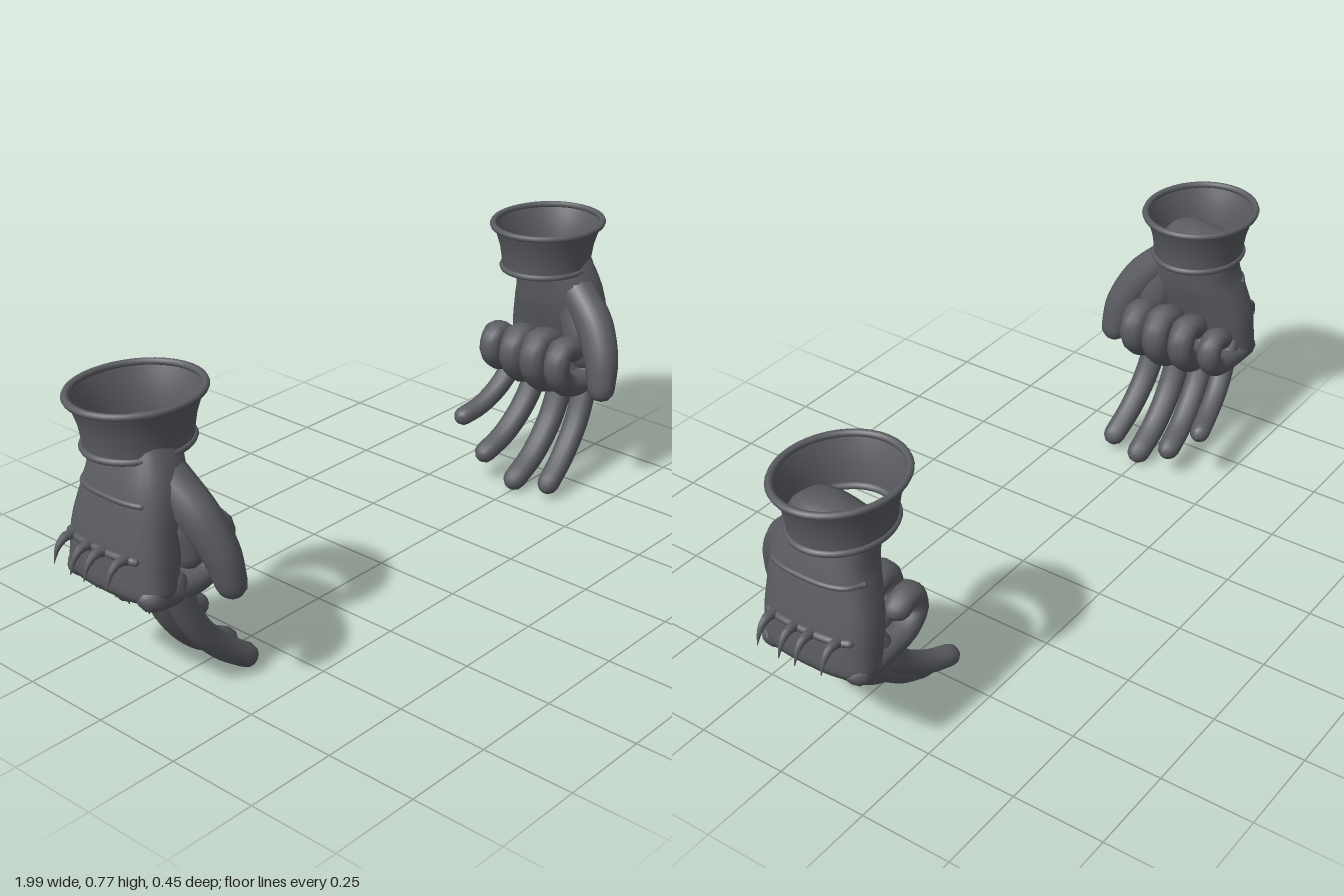
import * as THREE from 'three';

const gloveGrey = new THREE.MeshStandardMaterial({ color: 0x5b5d62, side: THREE.DoubleSide });
gloveGrey.name = 'gloveGrey';

// Rounded tube through path points [x, y, z, halfThickness, halfWidth], with domed ends.
function limb(points, { sides = 12, steps = 14, power = 2, caps = null } = {}) {
  const curve = new THREE.CatmullRomCurve3(points.map(p => new THREE.Vector3(p[0], p[1], p[2])), false, 'centripetal');
  const last = points.length - 1;
  const radiusAt = (t, k) => {
    const i = Math.min(Math.floor(t * last), last - 1), f = t * last - i;
    return THREE.MathUtils.lerp(points[i][k], points[i + 1][k], f);
  };
  const startCap = caps ? caps[0] : points[0][3], endCap = caps ? caps[1] : points[last][3];
  const rings = [];
  for (const a of [89, 60, 30]) rings.push([0, -startCap * Math.sin(a * Math.PI / 180), Math.cos(a * Math.PI / 180)]);
  for (let i = 0; i <= steps; i++) rings.push([i / steps, 0, 1]);
  for (const a of [30, 60, 89]) rings.push([1, endCap * Math.sin(a * Math.PI / 180), Math.cos(a * Math.PI / 180)]);

  const pos = [], index = [], axis = new THREE.Vector3(0, 0, 1);
  const curved = c => Math.sign(c) * Math.pow(Math.abs(c), 2 / power);
  rings.forEach(([t, offset, scale], r) => {
    const tan = curve.getTangent(t), u = axis.clone().cross(tan).normalize(), v = tan.clone().cross(u);
    const centre = curve.getPoint(t).addScaledVector(tan, offset);
    for (let j = 0; j < sides; j++) {
      const a = j / sides * Math.PI * 2;
      const p = centre.clone()
        .addScaledVector(u, radiusAt(t, 3) * scale * curved(Math.cos(a)))
        .addScaledVector(v, radiusAt(t, 4) * scale * curved(Math.sin(a)));
      pos.push(p.x, p.y, p.z);
      if (r > 0) {
        const k = (j + 1) % sides, A = (r - 1) * sides, B = r * sides;
        index.push(A + j, A + k, B + k, A + j, B + k, B + j);
      }
    }
  });
  const g = new THREE.BufferGeometry();
  g.setAttribute('position', new THREE.Float32BufferAttribute(pos, 3));
  g.setIndex(index);
  g.computeVertexNormals();
  return g;
}

// Palm sections, wrist to knuckles: x, y, z, half thickness, half width.
const PALM = [
  [0.795, 0.66, -0.05, 0.078, 0.108],
  [0.82, 0.55, -0.032, 0.086, 0.136],
  [0.85, 0.42, -0.042, 0.08, 0.156],
  [0.868, 0.315, -0.042, 0.068, 0.16],
];
const PALM_POWER = 2.7;

// Outer surface x on the back of the hand for a palm section.
function backOfHand([cx, , cz, a, b], z) {
  const k = Math.min(Math.abs(z - cz) / b, 0.98);
  return cx + a * Math.pow(1 - Math.pow(k, PALM_POWER), 1 / PALM_POWER);
}

// Fingers, index to little: base z, tip z, radius, extended path in x/y, curl size.
const FINGERS = [
  { name: 'index', z: 0.08, tipZ: 0.102, r: 0.036, path: [[0.825, 0.33], [0.765, 0.19], [0.69, 0.1], [0.618, 0.045]], curl: 0.0 },
  { name: 'middle', z: 0.0, tipZ: 0.0, r: 0.038, path: [[0.825, 0.33], [0.76, 0.18], [0.675, 0.085], [0.592, 0.036]], curl: -0.006 },
  { name: 'ring', z: -0.08, tipZ: -0.105, r: 0.036, path: [[0.82, 0.34], [0.75, 0.21], [0.665, 0.13], [0.585, 0.092]], curl: 0.0 },
  { name: 'little', z: -0.155, tipZ: -0.198, r: 0.032, path: [[0.81, 0.35], [0.74, 0.25], [0.66, 0.197], [0.595, 0.178]], curl: 0.012 },
];

function createGlove(side, name) {
  const glove = new THREE.Group();
  glove.name = name;
  const add = (geometry, partName) => {
    const mesh = new THREE.Mesh(geometry, gloveGrey);
    mesh.name = partName;
    glove.add(mesh);
    return mesh;
  };
  const addLimb = (partName, points, options) =>
    add(limb(points.map(([x, ...rest]) => [side * x, ...rest]), options), partName);

  // Palm and wrist
  addLimb('palm', PALM, { sides: 28, steps: 16, power: PALM_POWER, caps: [0.035, 0.035] });

  // Thumb and the pad at its root
  addLimb('thumb', [
    [0.795, 0.585, 0.045, 0.055, 0.05],
    [0.775, 0.5, 0.125, 0.052, 0.056],
    [0.752, 0.41, 0.172, 0.046, 0.05],
    [0.737, 0.33, 0.187, 0.038, 0.04],
  ]);
  addLimb('thumbPad', [
    [0.79, 0.56, 0.04, 0.045, 0.06],
    [0.78, 0.46, 0.08, 0.05, 0.06],
    [0.78, 0.39, 0.09, 0.035, 0.045],
  ]);

  // One open and one closed finger for each knuckle
  for (const f of FINGERS) {
    addLimb(f.name + 'FingerOpen', f.path.map(([x, y], i) => {
      const r = f.r * (1 - 0.04 * i);
      return [x, y, THREE.MathUtils.lerp(f.z, f.tipZ, i / 3), r, r];
    }));
    const c = f.curl, curledZ = f.z - (f.name === 'little' ? 0.012 : 0);
    addLimb(f.name + 'FingerClosed', [
      [0.888, 0.317], [0.8, 0.307 + c], [0.715, 0.32 + c], [0.665 + c, 0.375], [0.685 + c, 0.436 - c], [0.74, 0.42 - c],
    ].map(([x, y]) => [x, y, curledZ, f.r, f.r * 1.06]), { steps: 15 });
  }

  // Flared open cuff with rolled rims
  const cuffProfile = [[0.121, 0.636], [0.122, 0.66], [0.128, 0.7], [0.138, 0.735], [0.149, 0.765]];
  const cuff = add(new THREE.LatheGeometry(cuffProfile.map(p => new THREE.Vector2(...p)), 40), 'cuff');
  cuff.position.set(side * 0.782, 0, -0.055);
  cuff.scale.x = 1.13;
  for (const [rimName, radius, y] of [['topRim', 0.148, 0.765], ['wristRim', 0.119, 0.64]]) {
    const rim = add(new THREE.TorusGeometry(radius, 0.009, 8, 40).rotateX(Math.PI / 2), rimName);
    rim.position.set(side * 0.782, y, -0.055);
    rim.scale.x = 1.14;
  }

  // Raised bands across the back of the hand
  for (const [bandName, section, radius] of [['wristBand', PALM[1], 0.007], ['spikeBand', PALM[2], 0.01]]) {
    const points = [];
    for (let i = 0; i <= 10; i++) {
      const z = 0.066 - 0.232 * i / 10;
      points.push([backOfHand(section, z) + 0.001, section[1] - 0.004, z, radius, radius]);
    }
    const path = new THREE.CatmullRomCurve3(points.map(p => new THREE.Vector3(side * p[0], p[1], p[2])));
    add(new THREE.TubeGeometry(path, 24, radius, 8), bandName);
    for (const end of [points[0], points[10]]) {
      add(new THREE.SphereGeometry(radius, 8, 6), bandName + 'End').position.set(side * end[0], end[1], end[2]);
    }
  }

  // Hooked spikes on the band and straight spikes under the knuckles
  for (const z of [0.045, -0.025, -0.072, -0.142]) {
    const x = backOfHand(PALM[2], z);
    addLimb('bandSpike', [
      [x - 0.01, 0.414, z, 0.014, 0.013],
      [x + 0.028, 0.42, z, 0.012, 0.011],
      [x + 0.053, 0.4, z, 0.007, 0.007],
      [x + 0.066, 0.365, z, 0.001, 0.001],
    ], { sides: 8, steps: 9 });
    addLimb('knuckleSpike', [
      [0.875, 0.31, z, 0.013, 0.013],
      [0.873, 0.28, z, 0.009, 0.009],
      [0.868, 0.25, z, 0.001, 0.001],
    ], { sides: 8, steps: 6 });
  }
  return glove;
}

export function createModel() {
  const model = new THREE.Group();
  model.name = 'glovePair';
  model.add(createGlove(1, 'leftGlove'), createGlove(-1, 'rightGlove'));
  return model;
}
